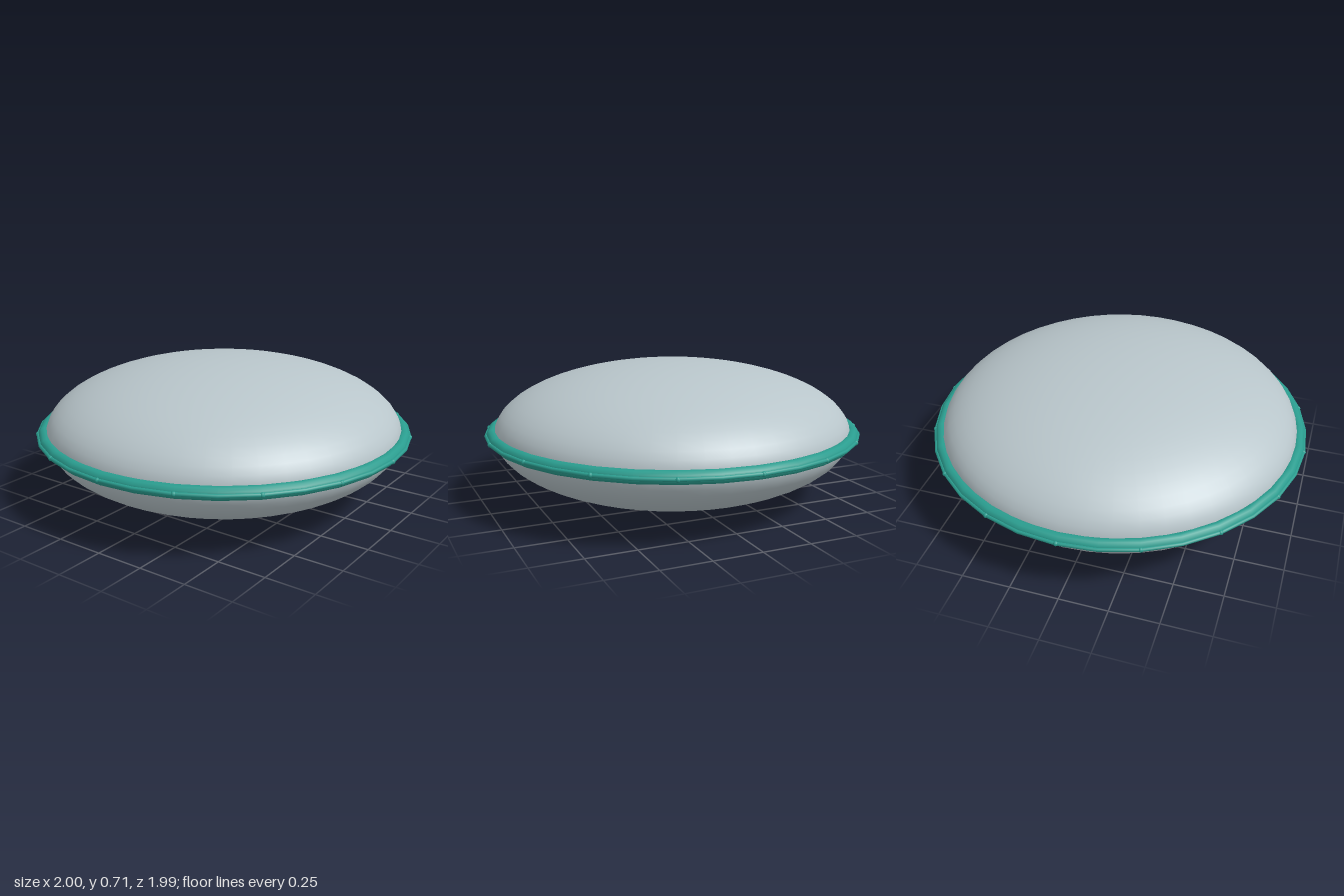
import * as THREE from 'three';

export function createModel() {
  const group = new THREE.Group();
  const shellMaterial = new THREE.MeshStandardMaterial({ color: 0xb8c5ca });
  shellMaterial.name = 'pale grey shell';
  const rimMaterial = new THREE.MeshStandardMaterial({ color: 0x2a9d8f });
  rimMaterial.name = 'teal rim';
  const midY = 0.357;

  const add = (name, geometry, material, x = 0, z = 0) => {
    const mesh = new THREE.Mesh(geometry, material);
    mesh.name = name;
    mesh.position.set(x, midY, z);
    group.add(mesh);
    return mesh;
  };

  // Flattened round body
  add('shell', new THREE.SphereGeometry(1, 48, 32).scale(0.945, midY, 0.945), shellMaterial);

  // Rounded band and the thin bead around its edge
  const ring = (radius, tube, sides) =>
    new THREE.TorusGeometry(radius, tube, sides, 32).rotateX(Math.PI / 2);
  add('rim', ring(0.953, 0.033, 12), rimMaterial);
  add('rimBead', ring(0.985, 0.01, 8), rimMaterial);

  // Small studs spaced evenly on the bead
  const stud = new THREE.SphereGeometry(0.013, 10, 8);
  for (let i = 0; i < 16; i++) {
    const a = (i / 16) * Math.PI * 2;
    add('rimStud', stud, rimMaterial, Math.sin(a) * 0.985, Math.cos(a) * 0.985);
  }
  return group;
}
